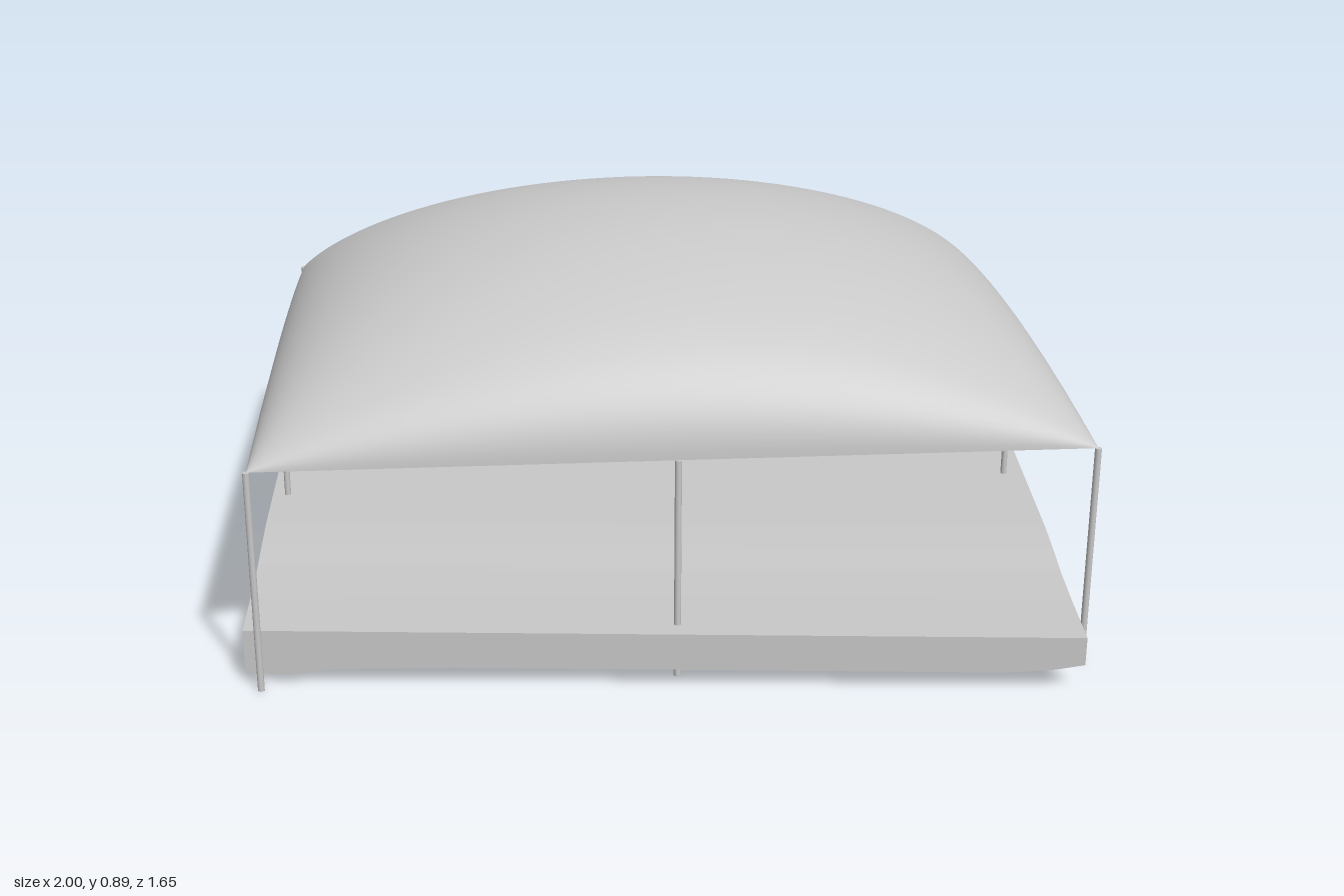
import * as THREE from 'three';

const grey = new THREE.MeshStandardMaterial({ color: 0xc8c8c8, side: THREE.DoubleSide });
grey.name = 'light grey';

const EAVE = 0.51, RISE = 0.385;
// Canopy plan: a slightly twisted rectangle, u and v run from -1 to 1
const plan = (u, v) => [0.02 + 0.9 * u + 0.07 * v, -0.005 - 0.085 * u + 0.735 * v];

// Piecewise linear lookup through [position, value] pairs
function sample(table, t) {
  for (let i = 1; i < table.length; i++) {
    const [a, p] = table[i - 1], [b, q] = table[i];
    if (t <= b) return p + (q - p) * Math.max(0, (t - a) / (b - a));
  }
  return table[table.length - 1][1];
}

// Sheet from a function of (s, t), both 0 to 1
function sheet(name, ns, nt, point) {
  const pos = [], idx = [];
  for (let j = 0; j <= nt; j++)
    for (let i = 0; i <= ns; i++) pos.push(...point(i / ns, j / nt));
  for (let j = 0; j < nt; j++)
    for (let i = 0; i < ns; i++) {
      const a = j * (ns + 1) + i, b = a + 1, c = a + ns + 1, d = c + 1;
      idx.push(a, c, b, b, c, d);
    }
  const g = new THREE.BufferGeometry();
  g.setAttribute('position', new THREE.Float32BufferAttribute(pos, 3));
  g.setIndex(idx);
  g.computeVertexNormals();
  const m = new THREE.Mesh(g, grey);
  m.name = name;
  return m;
}

// Deck outline and heights
const FRONT = 0.78, BACK = -0.785, RIGHT = 0.97;
const zAt = t => BACK + (FRONT - BACK) * t;
const leftX = t => -1 + 0.15 * t;
const deckY = z => sample([[-0.785, 0.145], [0.25, 0.143], [0.36, 0.136], [0.46, 0.127], [0.6, 0.124], [0.78, 0.125]], z);
const frontBottom = x => sample([[-0.85, 0.022], [-0.74, 0.02], [-0.66, 0.034], [-0.4, 0.04], [0.8, 0.04], [0.9, 0.047], [0.97, 0.06]], x);
const sideBottom = z => sample([[-0.785, 0.125], [-0.3, 0.113], [0, 0.097], [0.2, 0.084], [0.5, 0.053], [0.78, 0.022]], z);

export function createModel() {
  const model = new THREE.Group();
  model.name = 'pavilion';

  // Domed canopy with straight eaves, finely divided near the edges
  model.add(sheet('canopy', 64, 64, (s, t) => {
    const a = (s - 0.5) * Math.PI, b = (t - 0.5) * Math.PI;
    const [x, z] = plan(Math.sin(a), Math.sin(b));
    return [x, EAVE + RISE * Math.cos(a) * Math.cos(b), z];
  }));

  // Posts at the corners and the middle of each side
  const postGeometry = new THREE.CylinderGeometry(0.0075, 0.0075, EAVE, 12);
  for (const u of [-1, 0, 1])
    for (const v of [-1, 0, 1]) {
      if (!u && !v) continue;
      const [x, z] = plan(u, v);
      const post = new THREE.Mesh(postGeometry, grey);
      post.name = 'post';
      post.position.set(x, EAVE / 2, z);
      model.add(post);
    }

  // Gently sloping deck
  model.add(sheet('deck', 1, 60, (s, t) =>
    [leftX(t) + (RIGHT - leftX(t)) * s, deckY(zAt(t)), zAt(t)]));

  // Retaining skirts along the front and the slanted side
  model.add(sheet('frontSkirt', 60, 1, (s, t) => {
    const x = -0.85 + (RIGHT + 0.85) * s;
    return [x, t ? frontBottom(x) : deckY(FRONT), FRONT];
  }));
  model.add(sheet('sideSkirt', 60, 1, (s, t) =>
    [leftX(s), t ? sideBottom(zAt(s)) : deckY(zAt(s)), zAt(s)]));

  return model;
}
